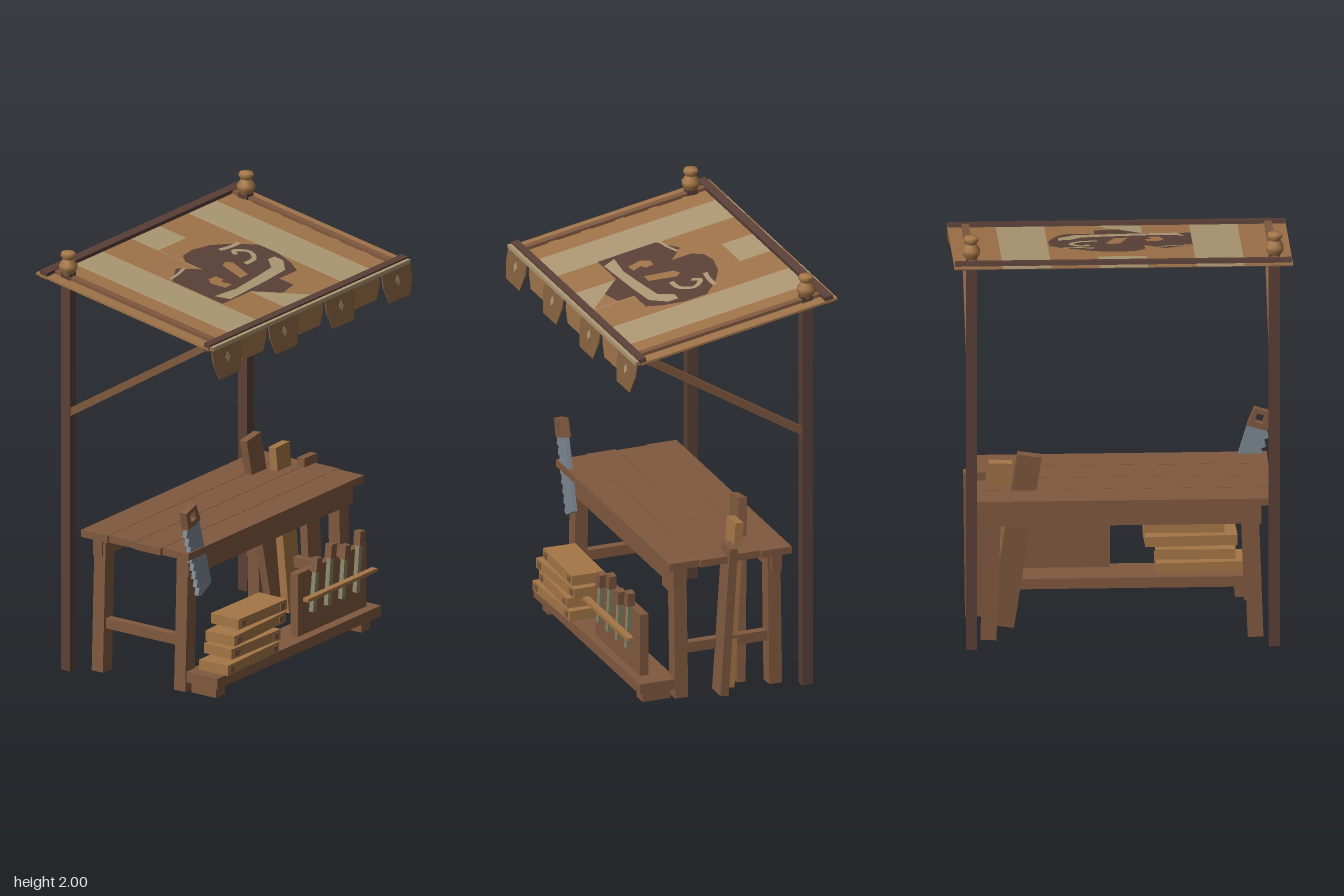
import * as THREE from 'three';

const mat = (name, color) => {
  const m = new THREE.MeshStandardMaterial({ color });
  m.name = name;
  return m;
};

export function createModel() {
  const wood = mat('mid wood', 0x80593f), dark = mat('dark wood', 0x5a4037), light = mat('light wood', 0xa47646);
  const tan = mat('tan canvas', 0x9f734a), cream = mat('cream canvas', 0xac9773), umber = mat('umber dye', 0x5a4137);
  const brown = mat('brown canvas', 0x85603f), steel = mat('saw steel', 0x7d8892), iron = mat('chisel iron', 0x8c8568);
  for (const m of [tan, cream, umber, brown]) m.side = THREE.DoubleSide;
  const model = new THREE.Group();
  model.name = 'carpenterStall';

  const add = (parent, name, geo, m, x = 0, y = 0, z = 0) => {
    const mesh = new THREE.Mesh(geo, m);
    mesh.name = name;
    mesh.position.set(x, y, z);
    parent.add(mesh);
    return mesh;
  };
  // box given by its limits on each axis
  const box = (parent, name, m, [x0, x1], [y0, y1], [z0, z1]) =>
    add(parent, name, new THREE.BoxGeometry(x1 - x0, y1 - y0, z1 - z0), m, (x0 + x1) / 2, (y0 + y1) / 2, (z0 + z1) / 2);
  // straight timber between two points
  const bar = (parent, name, m, a, b, w, d) => {
    const p = new THREE.Vector3(...a), q = new THREE.Vector3(...b), dir = q.clone().sub(p);
    const mesh = add(parent, name, new THREE.BoxGeometry(w, dir.length(), d), m);
    mesh.position.copy(p).add(q).multiplyScalar(0.5);
    mesh.quaternion.setFromUnitVectors(new THREE.Vector3(0, 1, 0), dir.normalize());
    return mesh;
  };
  const shape = (pts) => new THREE.Shape(pts.map(([x, y]) => new THREE.Vector2(x, y)));
  const slab = (s, depth) => new THREE.ExtrudeGeometry(s, { depth, bevelEnabled: false });

  // posts, finials and braces
  const finial = [[0, 0], [0.022, 0], [0.024, 0.015], [0.04, 0.04], [0.042, 0.06], [0.026, 0.085], [0.026, 0.092], [0.036, 0.105], [0.03, 0.12], [0, 0.125]]
    .map(([r, y]) => new THREE.Vector2(r, y));
  for (const s of [-1, 1]) {
    box(model, 'post', dark, [s * 0.68 - 0.024, s * 0.68 + 0.024], [0.015, 1.9], [-0.405, -0.355]);
    add(model, 'finial', new THREE.LatheGeometry(finial, 10), light, s * 0.682, 1.875, -0.38);
    bar(model, 'brace', wood, [s * 0.68, 1.24, -0.365], [s * 0.68, 1.715, 0.41], 0.036, 0.034);
  }

  // sloping canopy, built flat and tilted
  const roof = new THREE.Group();
  roof.name = 'canopy';
  roof.position.y = 1.8;
  roof.rotation.x = Math.atan(0.18);
  model.add(roof);
  const W = 1.52 / 7;
  for (let i = 0; i < 7; i++)
    box(roof, 'canvasStripe', i % 2 ? cream : tan, [-0.76 + i * W, -0.76 + (i + 1) * W], [-0.005, 0.005], [-0.51, 0.46]);
  for (const [z, w] of [[-0.472, 0.04], [0.447, 0.034]])
    box(roof, 'canopyBeam', dark, [-0.757, 0.757], [-0.012, 0.024], [z - w / 2, z + w / 2]);
  const paint = (name, m, y, pts) => {
    const g = new THREE.ShapeGeometry(shape(pts.map(([x, z]) => [x, -z])));
    return add(roof, name, g.rotateX(-Math.PI / 2), m, 0, y, 0);
  };
  for (const s of [-1, 1]) {
    box(roof, 'canopyRail', wood, [s * 0.68 - 0.017, s * 0.68 + 0.017], [-0.016, 0.02], [-0.48, 0.43]);
    for (let i = 0; i < 5; i++) {
      const z = -0.345 + i * 0.165;
      paint('cornerPatch', tan, 0.009, [[-0.06, -0.035], [0.06, -0.035], [0.06, 0], [0, 0.033], [-0.06, 0]]
        .map(([x, dz]) => [s * 0.617 + x, z + dz]));
    }
  }

  // dyed pattern in the middle of the canvas
  paint('dyedGround', tan, 0.007, [[-0.108, -0.3], [0.108, -0.3], [0.32, -0.05], [0.32, 0.22], [-0.108, 0.22]]);
  paint('dyedGround', tan, 0.007, [[-0.108, 0.22], [0.108, 0.22], [0.108, 0.42]]);
  paint('dyedField', umber, 0.009, [[-0.325, -0.065], [-0.2, -0.135], [-0.108, -0.055], [-0.108, -0.15], [-0.065, -0.195], [0.02, -0.207],
    [0.13, -0.185], [0.23, -0.13], [0.32, -0.05], [0.32, 0.06], [0.29, 0.15], [0.245, 0.22], [-0.325, 0.22]]);
  paint('dyedField', umber, 0.009, [[-0.108, 0.22], [0.108, 0.22], [0.108, 0.3], [0.0, 0.32]]);
  paint('creamBand', cream, 0.011, [[-0.295, 0.15], [-0.15, 0.165], [0.05, 0.145], [0.17, 0.13], [0.225, 0.07], [0.275, 0.07],
    [0.275, 0.12], [0.2, 0.185], [0.03, 0.2], [-0.26, 0.215]]);
  paint('tanDab', tan, 0.011, [[-0.2, 0.06], [-0.17, 0.025], [-0.12, 0.03], [-0.115, 0.07], [-0.145, 0.08], [-0.125, 0.125], [-0.18, 0.13]]);
  paint('tanDab', tan, 0.011, [[-0.04, 0.11], [0.0, -0.02], [0.04, -0.035], [0.065, -0.01], [0.02, 0.11]]);
  const stroke = (m, w, pts) => {
    const c = new THREE.CatmullRomCurve3(pts.map(([x, z]) => new THREE.Vector3(x, 0, z)));
    const l = [], r = [];
    for (let i = 0; i <= 20; i++) {
      const p = c.getPoint(i / 20), t = c.getTangent(i / 20);
      l.push([p.x - t.z * w, p.z + t.x * w]);
      r.unshift([p.x + t.z * w, p.z - t.x * w]);
    }
    paint('dyedStroke', m, 0.012, l.concat(r));
  };
  stroke(cream, 0.012, [[0.1, 0.035], [0.18, 0.025], [0.22, -0.03], [0.17, -0.08], [0.14, -0.05]]);
  stroke(cream, 0.011, [[0.12, -0.125], [0.19, -0.115], [0.26, -0.115]]);
  stroke(cream, 0.007, [[-0.32, -0.08], [-0.25, -0.09], [-0.17, -0.11]]);
  stroke(tan, 0.006, [[-0.1, -0.2], [0, -0.225], [0.12, -0.205], [0.22, -0.15]]);

  // scalloped valance with trim
  box(model, 'valanceTrim', cream, [-0.755, 0.755], [1.715, 1.733], [0.455, 0.478]);
  for (let i = 0; i < 7; i++) {
    const odd = i % 2, h = odd ? 0.125 : 0.155, w = W / 2;
    const flap = new THREE.Group();
    flap.name = 'valanceFlap';
    flap.position.set(-0.76 + (i + 0.5) * W, 1.73, odd ? 0.452 : 0.465);
    flap.rotation.x = odd ? -0.06 : -0.16;
    model.add(flap);
    add(flap, 'flapCloth', slab(shape([[-w, 0], [-w, -h * 0.5], [-w * 0.72, -h], [w * 0.72, -h], [w, -h * 0.5], [w, 0]]), 0.006), odd ? tan : brown);
    if (!odd) add(flap, 'flapDiamond', slab(shape([[0, -0.045], [-0.018, -0.07], [0, -0.095], [0.018, -0.07]]), 0.002), cream, 0, 0, 0.0065);
  }

  // workbench
  for (let i = 0; i < 4; i++) {
    const z = -0.31 + i * 0.1475;
    box(model, 'benchTopPlank', wood, [-0.68 + (i % 2) * 0.01, 0.685 - (i % 2) * 0.01], [0.656, 0.69], [z, z + 0.145]);
  }
  for (const z of [-0.265, 0.215]) {
    box(model, 'apron', wood, [-0.625, 0.637], [0.56, 0.656], [z - 0.018, z + 0.03]);
    for (const s of [-1, 1])
      bar(model, 'benchLeg', wood, [s * 0.6, 0.015, z - Math.sign(z) * 0.012], [s * 0.578, 0.645, z - Math.sign(z) * 0.012], 0.07, 0.062);
  }
  for (const s of [-1, 1]) box(model, 'sideStretcher', wood, [s * 0.59 - 0.02, s * 0.59 + 0.02], [0.22, 0.268], [-0.24, 0.2]);

  // low shelf in front of the bench
  box(model, 'shelf', wood, [-0.625, 0.63], [0.06, 0.11], [0.225, 0.405]);
  for (const x of [-0.56, 0.555]) box(model, 'shelfFoot', wood, [x - 0.035, x + 0.035], [0.005, 0.06], [0.24, 0.375]);

  // stacked boards with end cleats
  [[-0.58, -0.17, 0.115], [-0.53, -0.17, 0.178], [-0.535, -0.12, 0.242], [-0.48, -0.12, 0.306]].forEach(([x0, x1, y], i) => {
    const g = new THREE.Group();
    g.name = 'stackedBoard';
    g.position.set((x0 + x1) / 2, y, 0.345);
    g.rotation.y = [0.03, -0.03, 0.04, -0.02][i];
    model.add(g);
    const w = (x1 - x0) / 2;
    box(g, 'board', light, [-w, w], [0, 0.048], [-0.078, 0.078]);
    for (const s of [-1, 1]) box(g, 'boardCleat', wood, [s * (w - 0.035) - 0.016, s * (w - 0.035) + 0.016], [0.01, 0.038], [0.076, 0.082]);
  });

  // tool board with chisels
  box(model, 'toolBoard', wood, [0.033, 0.56], [0.12, 0.417], [0.335, 0.375]);
  box(model, 'toolRail', light, [0.03, 0.56], [0.296, 0.312], [0.405, 0.436]);
  [[0.122, 0.155, 0.47], [0.235, 0.265, 0.505], [0.345, 0.372, 0.47], [0.455, 0.485, 0.505]].forEach(([x0, x1, top]) => {
    const g = new THREE.Group();
    g.name = 'chisel';
    g.position.set(x0, 0.22, 0.393);
    g.rotation.z = -Math.atan2(x1 - x0, top - 0.22);
    model.add(g);
    const h = top - 0.22;
    box(g, 'chiselBlade', iron, [-0.013, 0.013], [0, h - 0.06], [-0.011, 0.011]);
    box(g, 'chiselHandle', wood, [-0.02, 0.02], [h - 0.065, h], [-0.018, 0.018]);
  });

  // timber leaning through the bench end
  bar(model, 'leaningPlank', wood, [0.645, 0.02, 0.02], [0.655, 0.73, -0.022], 0.1, 0.04);
  bar(model, 'leaningPlank', light, [0.565, 0.02, -0.04], [0.54, 0.8, -0.095], 0.105, 0.04);
  bar(model, 'leaningPlank', wood, [0.535, 0.02, -0.105], [0.412, 0.86, -0.162], 0.11, 0.04);

  // saw hung on the bench corner
  const blade = [[-0.58, 0.825], [-0.67, 0.8]];
  for (let i = 0; i < 8; i++) {
    const x = -0.67 + i * 0.0131, y = 0.8 - i * 0.0425;
    blade.push([x - 0.008, y - 0.036], [x + 0.0131, y - 0.0425]);
  }
  blade.push([-0.485, 0.505]);
  add(model, 'sawBlade', slab(shape(blade), 0.022), steel, 0, 0, 0.25);
  const grip = shape([[-0.69, 0.885], [-0.672, 0.8], [-0.58, 0.828], [-0.613, 0.91]]);
  grip.holes.push(new THREE.Path([[-0.66, 0.875], [-0.625, 0.885], [-0.612, 0.845], [-0.65, 0.835]].map((p) => new THREE.Vector2(...p))));
  add(model, 'sawHandle', slab(grip, 0.038), wood, 0, 0, 0.242);

  return model;
}
